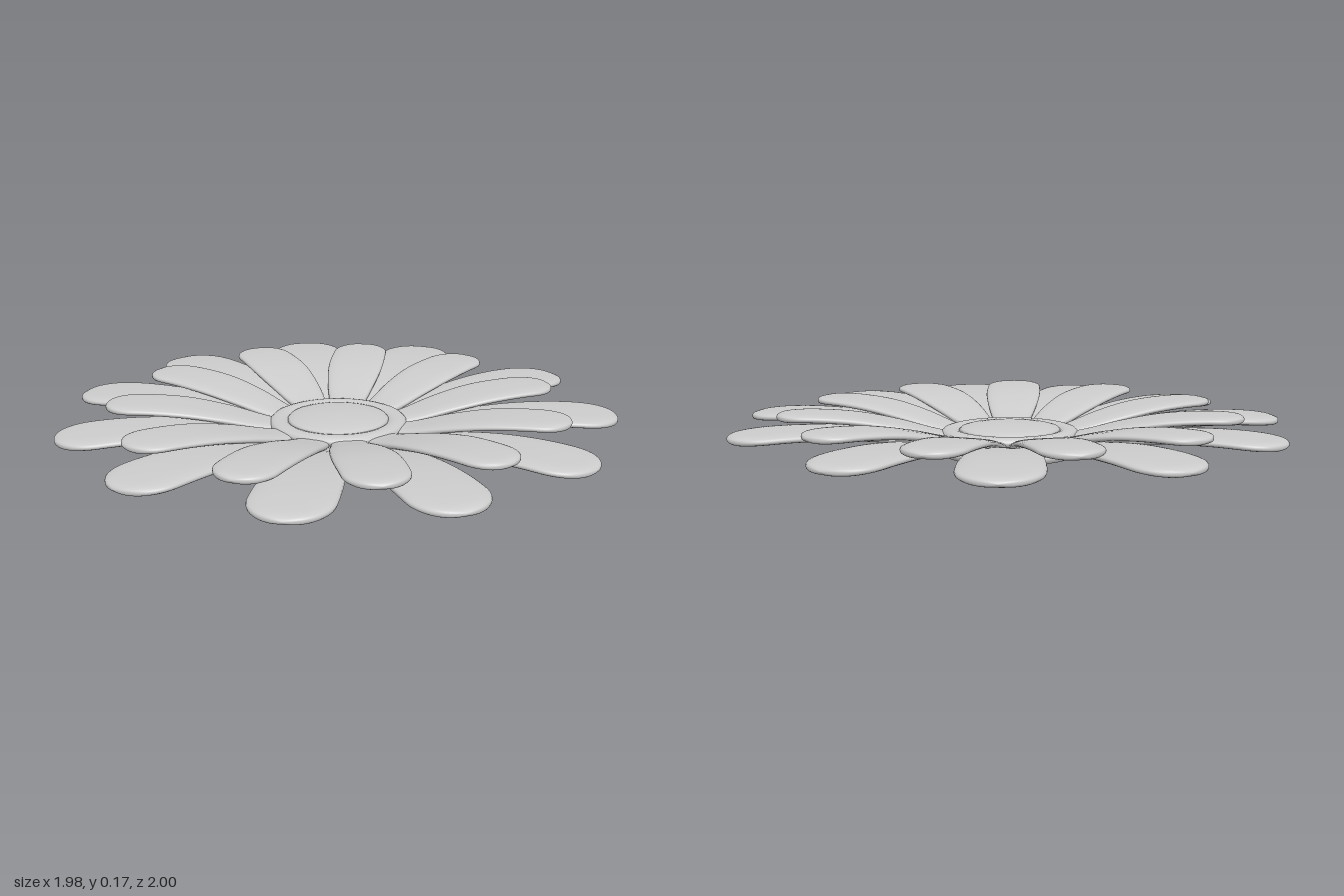
import * as THREE from 'three';

const material = new THREE.MeshStandardMaterial({ color: 0xcccccc });

// Each layer: rows of [radius, centre height, half width] from root to tip.
const LOWER = {
  name: 'lowerPetal', thickness: 0.017, cap: 0.14,
  rows: [[0.12, 0.036, 0.04], [0.25, 0.047, 0.075], [0.4, 0.085, 0.1], [0.6, 0.114, 0.122], [0.8, 0.122, 0.135], [1.01, 0.113, 0.132]],
  angles: [4.5, 37.6, 70.1, 100.4, 133.4, 164, 196.4, 229.3, 262.8, 294.1, 331.7],
};
const UPPER = {
  name: 'upperPetal', thickness: 0.016, cap: 0.11,
  rows: [[0.12, 0.06, 0.035], [0.25, 0.075, 0.066], [0.4, 0.112, 0.094], [0.55, 0.14, 0.11], [0.7, 0.152, 0.11], [0.84, 0.152, 0.104]],
  angles: [18.4, 51.7, 82.5, 113.8, 147, 180, 212.5, 246.5, 279, 312, 345.5],
};

// Petal: rounded cross-sections swept outwards along +x, closing in a round tip
function petalGeometry({ rows, thickness, cap }) {
  const curve = new THREE.CatmullRomCurve3(rows.map(r => new THREE.Vector3(...r)));
  const steps = 40, sides = 28;
  const tip = rows[rows.length - 1][0];
  const root = rows[0][0];
  const positions = [], index = [];
  const p = new THREE.Vector3();
  const soft = (v, e) => Math.sign(v) * Math.abs(v) ** e;
  for (let i = 0; i <= steps; i++) {
    // stations crowd together towards the tip
    const t = Math.sin((i / steps) * Math.PI / 2);
    curve.getPointAt(t, p);
    const r = i === steps ? tip : Math.max(p.x, root);
    const k = Math.min(1, Math.max(0, (r - (tip - cap)) / cap));
    const round = Math.max(0, 1 - k ** 2.2) ** 0.5;
    const thin = Math.max(0, 1 - k ** 7) ** 0.5;
    for (let j = 0; j < sides; j++) {
      const a = (j / sides) * Math.PI * 2;
      positions.push(
        r,
        p.y + thickness * thin * soft(Math.sin(a), 0.75),
        p.z * round * soft(Math.cos(a), 0.6),
      );
      if (i < steps) {
        const n = (j + 1) % sides;
        const A = i * sides + j, B = A + sides, C = i * sides + n, D = C + sides;
        index.push(A, B, C, B, D, C);
      }
    }
  }
  const g = new THREE.BufferGeometry();
  g.setAttribute('position', new THREE.Float32BufferAttribute(positions, 3));
  g.setIndex(index);
  g.computeVertexNormals();
  return g;
}

function petalLayer(layer) {
  const group = new THREE.Group();
  group.name = layer.name + 's';
  const geometry = petalGeometry(layer);
  for (const angle of layer.angles) {
    const petal = new THREE.Mesh(geometry, material);
    petal.name = layer.name;
    petal.rotation.y = -THREE.MathUtils.degToRad(angle);
    group.add(petal);
  }
  return group;
}

function turned(name, points) {
  const profile = points.map(([x, y]) => new THREE.Vector2(x, y));
  const mesh = new THREE.Mesh(new THREE.LatheGeometry(profile, 64), material);
  mesh.name = name;
  return mesh;
}

export function createModel() {
  const flower = new THREE.Group();
  flower.name = 'flower';
  flower.add(petalLayer(LOWER), petalLayer(UPPER));

  // Base cup with a shallow hollow underneath
  flower.add(turned('base', [
    [0, 0.022], [0.08, 0.019], [0.15, 0.01], [0.2, 0.002], [0.225, 0], [0.245, 0.005],
    [0.256, 0.016], [0.254, 0.028], [0.24, 0.036], [0.22, 0.04], [0.215, 0.075],
  ]));

  // Raised rim around the centre, rounded on its outer edge
  flower.add(turned('centreRim', [
    [0.215, 0.06], [0.24, 0.068], [0.25, 0.078], [0.249, 0.088], [0.24, 0.096],
    [0.225, 0.1], [0.205, 0.1], [0.19, 0.096], [0.182, 0.09], [0.17, 0.082],
  ]));

  // Gently domed centre button
  flower.add(turned('centreButton', [
    [0.184, 0.08], [0.184, 0.094], [0.178, 0.1], [0.16, 0.105], [0.12, 0.111], [0.06, 0.115], [0, 0.116],
  ]));

  flower.position.x = -0.015;
  const model = new THREE.Group();
  model.add(flower);
  return model;
}
